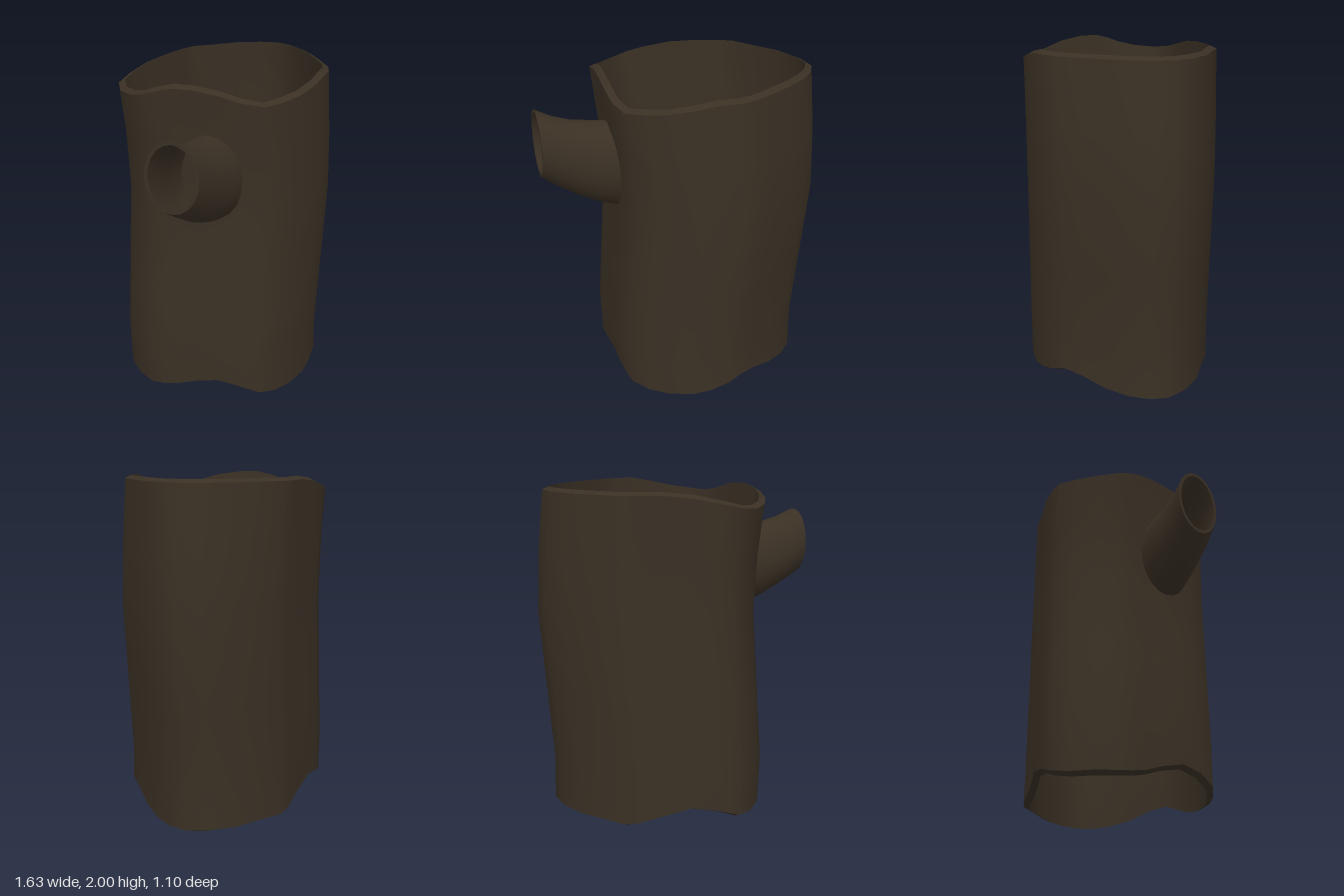
import * as THREE from 'three';
import { toCreasedNormals } from 'three/addons/utils/BufferGeometryUtils.js';

// Skin a stack of closed loops; optionally join the last loop to the first
function skin(rows, closed) {
  const n = rows[0].length, index = [];
  const last = closed ? rows.length : rows.length - 1;
  for (let r = 0; r < last; r++) {
    for (let i = 0; i < n; i++) {
      const j = (i + 1) % n, s = (r + 1) % rows.length;
      const a = r * n + i, b = r * n + j, c = s * n + j, d = s * n + i;
      index.push(a, c, b, a, d, c);
    }
  }
  const g = new THREE.BufferGeometry().setFromPoints(rows.flat());
  g.setIndex(index);
  return toCreasedNormals(g, 0.7);
}

// Trunk outline: x, z, top height, bottom height
const OUTLINE = [
  [-0.545, -0.09, 1.95, 0.03], [-0.535, -0.21, 1.925, 0.03], [-0.49, -0.34, 1.915, 0.03],
  [-0.42, -0.44, 1.925, 0.05], [-0.31, -0.48, 1.95, 0.09], [-0.14, -0.51, 1.985, 0.12],
  [0.03, -0.525, 2, 0.07], [0.18, -0.55, 2, 0.03], [0.27, -0.55, 2, 0.02],
  [0.42, -0.48, 2, 0.02], [0.56, -0.42, 2, 0.02], [0.69, -0.31, 2, 0.02],
  [0.76, -0.2, 2, 0.02], [0.76, -0.09, 2, 0.02], [0.725, 0.03, 2, 0.03],
  [0.655, 0.16, 2, 0.055], [0.57, 0.29, 2, 0.105], [0.5, 0.39, 2, 0.125],
  [0.43, 0.45, 2, 0.09], [0.32, 0.5, 2, 0.05], [0.21, 0.535, 1.98, 0.03],
  [0.06, 0.55, 1.95, 0.025], [-0.07, 0.54, 1.935, 0.03], [-0.19, 0.51, 1.925, 0.06],
  [-0.28, 0.42, 1.945, 0.11], [-0.35, 0.31, 1.98, 0.135], [-0.42, 0.18, 2, 0.1],
  [-0.47, 0.08, 2, 0.06], [-0.515, 0, 1.98, 0.04],
];

function trunkGeometry() {
  const n = OUTLINE.length, wall = 0.038;
  // Same outline moved inward by the wall thickness
  const inner = OUTLINE.map(([x, z], i) => {
    const p = OUTLINE[(i + n - 1) % n], q = OUTLINE[(i + 1) % n];
    const dx = q[0] - p[0], dz = q[1] - p[1], l = Math.hypot(dx, dz);
    return [x - dz / l * wall, z + dx / l * wall];
  });
  // Height and sideways bend of the middle sections
  const levels = [[0.3, -0.012], [0.75, 0.02], [1.25, 0.055], [1.6, 0.038]];
  const loop = (side, y, shift) =>
    side.map(([x, z], i) => new THREE.Vector3(x + shift, y(OUTLINE[i]), z));
  const middle = (side) => levels.map(([h, shift]) => loop(side, () => h, shift));
  return skin([
    loop(OUTLINE, (o) => o[3], -0.005),
    ...middle(OUTLINE),
    loop(OUTLINE, (o) => o[2] - 0.018, 0),
    loop(inner, (o) => o[2], 0),
    ...middle(inner).reverse(),
    loop(inner, (o) => o[3] - 0.02, -0.005),
  ], true);
}

function branchGeometry() {
  const across = new THREE.Vector3(0.5, 0, 0.87);
  // Elliptical section: centre, half width, half height
  const ring = ([x, y, z, w, h], cut = 0) => Array.from({ length: 20 }, (_, i) => {
    const t = i / 20 * Math.PI * 2;
    return new THREE.Vector3(x, y - Math.sin(t) * (h - cut), z)
      .addScaledVector(across, Math.cos(t) * (w - cut));
  });
  const sections = [
    [-0.335, 1.47, 0.235, 0.19, 0.26],
    [-0.44, 1.485, 0.265, 0.18, 0.25],
    [-0.55, 1.515, 0.3, 0.168, 0.23],
    [-0.65, 1.56, 0.335, 0.158, 0.215],
    [-0.745, 1.615, 0.36, 0.15, 0.205],
  ];
  return skin([
    ...sections.map((s) => ring(s)),
    ...sections.slice().reverse().map((s) => ring(s, 0.02)),
  ], false);
}

export function createModel() {
  const bark = new THREE.MeshStandardMaterial({ color: 0x3a3024 });
  bark.name = 'darkBark';
  const group = new THREE.Group();
  group.name = 'hollowLog';
  const parts = { trunk: trunkGeometry(), branchStub: branchGeometry() };
  for (const [name, geometry] of Object.entries(parts)) {
    const mesh = new THREE.Mesh(geometry, bark);
    mesh.name = name;
    group.add(mesh);
  }
  return group;
}
